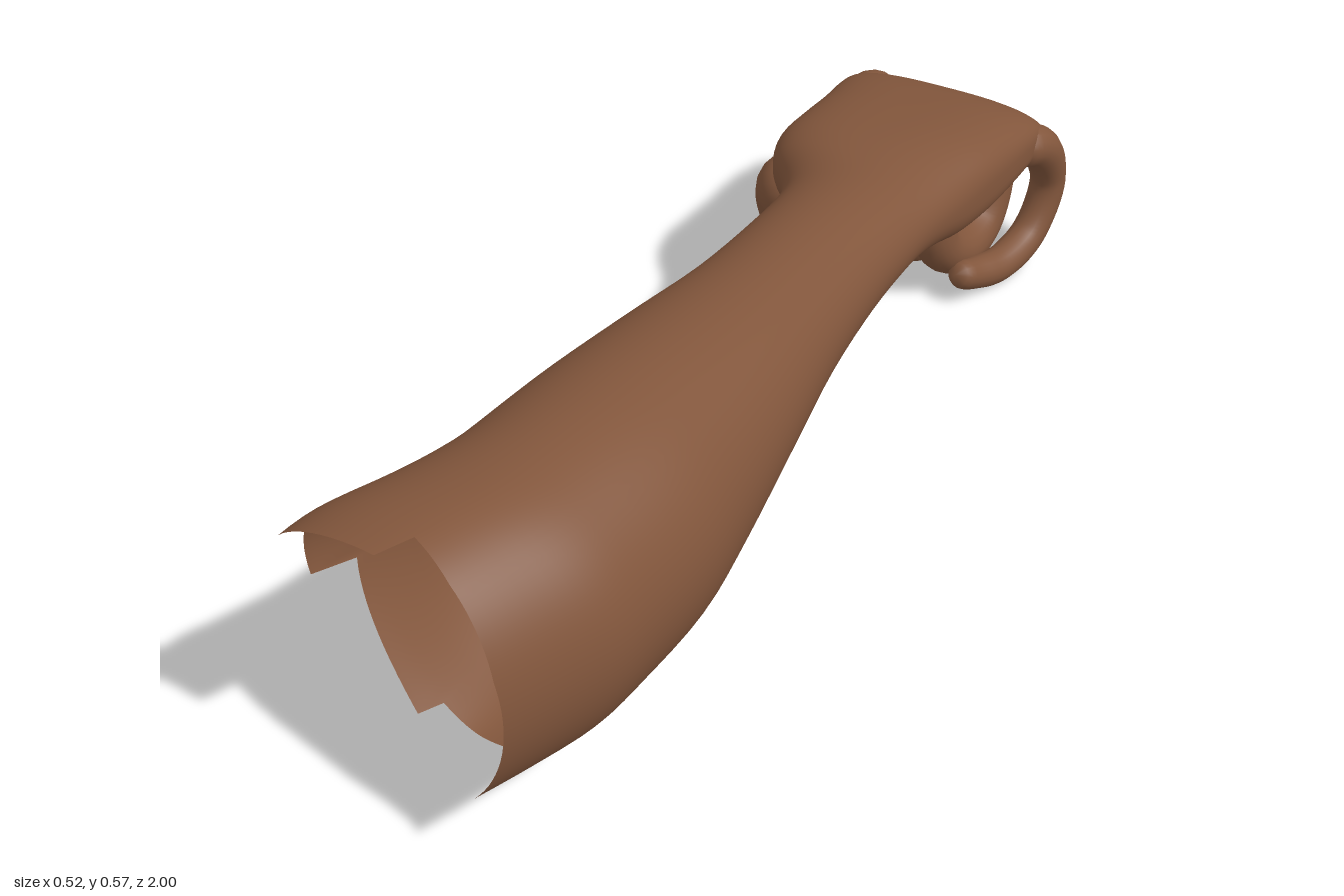
import * as THREE from 'three';
import { mergeVertices } from 'three/addons/utils/BufferGeometryUtils.js';

const skin = new THREE.MeshStandardMaterial({ color: 0x82563c, side: THREE.DoubleSide });
skin.name = 'brown skin';

// Cross-sections from elbow to knuckles: z, min x, max x, min y, max y
const SECTIONS = [
  [1.0, -0.24, 0.165, 0.095, 0.568],
  [0.9, -0.232, 0.205, 0.087, 0.573],
  [0.8, -0.212, 0.24, 0.085, 0.572],
  [0.7, -0.2, 0.252, 0.088, 0.568],
  [0.55, -0.19, 0.26, 0.097, 0.56],
  [0.4, -0.175, 0.245, 0.125, 0.545],
  [0.2, -0.145, 0.22, 0.185, 0.518],
  [0, -0.115, 0.19, 0.225, 0.49],
  [-0.2, -0.11, 0.17, 0.24, 0.465],
  [-0.35, -0.118, 0.165, 0.245, 0.447],
  [-0.43, -0.145, 0.167, 0.242, 0.438],
  [-0.5, -0.2, 0.173, 0.228, 0.434],
  [-0.57, -0.228, 0.18, 0.212, 0.429],
  [-0.66, -0.228, 0.188, 0.212, 0.418],
  [-0.75, -0.23, 0.192, 0.215, 0.403],
  [-0.84, -0.238, 0.195, 0.228, 0.383],
  [-0.9, -0.238, 0.19, 0.24, 0.36],
  [-0.94, -0.215, 0.175, 0.245, 0.325],
  [-0.962, -0.14, 0.11, 0.255, 0.295],
  [-0.965, -0.03, 0.01, 0.27, 0.28],
];

// Torn elbow edge: start and end angle in degrees, z at each
const TEARS = [
  [-44, 20, 1, 0.99], [20, 60, 0.99, 0.96], [60, 88, 0.96, 0.93],
  [88, 136, 0.99, 0.96], [136, 176, 0.89, 0.89], [176, 240, 0.81, 0.87], [240, 316, 0.82, 0.84],
];

function tornEdge(deg) {
  const d = deg >= 316 ? deg - 360 : deg;
  const [a, b, z0, z1] = TEARS.find(([from, to]) => d >= from && d < to);
  return z0 + (z1 - z0) * (d - a) / (b - a);
}

// Forearm, wrist and palm as one smooth hollow skin
function forearmGeometry() {
  const last = SECTIONS.length - 1, sides = 90, rings = last * 4;
  const curves = [1, 2, 3, 4].map(k =>
    new THREE.SplineCurve(SECTIONS.map(s => new THREE.Vector2(s[0], s[k]))));
  const positions = [], index = [];
  for (let r = 0; r <= rings; r++) {
    for (let i = 0; i < sides; i++) {
      const deg = i * 360 / sides, a = deg * Math.PI / 180;
      const cos = Math.cos(a), sin = Math.sin(a);
      let t = r / 4;
      if (t < 3) {
        const start = (1 - tornEdge(deg)) / 0.1;
        t = start + t / 3 * (3 - start);
      }
      const p = curves.map(c => c.getPoint(t / last));
      const [x0, x1, y0, y1] = p.map(v => v.y), z = p[0].x;
      // The palm is squarer than the arm
      const e = 1 - 0.3 * THREE.MathUtils.smoothstep(-z, 0.35, 0.7);
      const bend = v => Math.sign(v) * Math.pow(Math.abs(v), e);
      // The elbow leans outward at the upper right and inward below
      const lean = 0.1 * THREE.MathUtils.smoothstep(z, 0.6, 0.95) * Math.max(0, -cos) * sin;
      positions.push(
        (x0 + x1) / 2 + (x1 - x0) / 2 * bend(cos) - lean,
        (y0 + y1) / 2 + (y1 - y0) / 2 * bend(sin),
        z);
      if (r < rings) {
        const j = (i + 1) % sides, n = r * sides;
        index.push(n + i, n + sides + i, n + j, n + j, n + sides + i, n + sides + j);
      }
    }
  }
  const g = new THREE.BufferGeometry();
  g.setAttribute('position', new THREE.Float32BufferAttribute(positions, 3));
  g.setIndex(index);
  g.computeVertexNormals();
  return g;
}

// Tapered tube with rounded ends; radii are spread evenly along the path
function digitGeometry(points, radii) {
  const curve = new THREE.CatmullRomCurve3(points.map(p => new THREE.Vector3(...p)));
  const segments = 48, sides = 18, length = curve.getLength();
  let g = new THREE.TubeGeometry(curve, segments, 1, sides);
  const pos = g.attributes.position, v = new THREE.Vector3();
  for (let i = 0; i <= segments; i++) {
    const u = i / segments, c = curve.getPointAt(u);
    const f = u * (radii.length - 1), k = Math.min(Math.floor(f), radii.length - 2);
    const radius = THREE.MathUtils.lerp(radii[k], radii[k + 1], f - k);
    const edge = Math.min(1, Math.min(u, 1 - u) * length / radius);
    const scale = radius * Math.sqrt(Math.max(0, 1 - (1 - edge) ** 2));
    for (let j = 0; j <= sides; j++) {
      const n = i * (sides + 1) + j;
      v.fromBufferAttribute(pos, n).sub(c).multiplyScalar(scale).add(c);
      pos.setXYZ(n, v.x, v.y, v.z);
    }
  }
  g.deleteAttribute('uv');
  g.deleteAttribute('normal');
  g = mergeVertices(g, 1e-5);
  g.computeVertexNormals();
  return g;
}

const DIGITS = {
  indexFinger: {
    path: [[-0.175, 0.305, -0.86], [-0.187, 0.275, -0.92], [-0.175, 0.185, -0.94],
      [-0.138, 0.1, -0.9], [-0.112, 0.087, -0.81], [-0.11, 0.13, -0.735], [-0.105, 0.22, -0.72]],
    radii: [0.06, 0.06, 0.056, 0.053, 0.05, 0.046, 0.04],
  },
  middleFinger: {
    path: [[-0.06, 0.305, -0.86], [-0.06, 0.275, -0.915], [-0.05, 0.175, -0.935],
      [-0.03, 0.088, -0.89], [-0.02, 0.074, -0.79], [-0.025, 0.14, -0.705], [-0.028, 0.32, -0.68]],
    radii: [0.06, 0.06, 0.057, 0.054, 0.051, 0.047, 0.04],
  },
  ringFinger: {
    path: [[0.055, 0.3, -0.86], [0.062, 0.265, -0.91], [0.068, 0.17, -0.93],
      [0.07, 0.085, -0.885], [0.07, 0.07, -0.79], [0.06, 0.13, -0.705], [0.055, 0.285, -0.68]],
    radii: [0.056, 0.056, 0.054, 0.051, 0.048, 0.043, 0.036],
  },
  littleFinger: {
    path: [[0.15, 0.3, -0.84], [0.178, 0.275, -0.91], [0.186, 0.17, -0.965],
      [0.172, 0.068, -0.92], [0.15, 0.037, -0.83], [0.125, 0.05, -0.75], [0.11, 0.075, -0.69]],
    radii: [0.045, 0.042, 0.036, 0.035, 0.036, 0.035, 0.028],
  },
  thumb: {
    path: [[-0.14, 0.31, -0.51], [-0.18, 0.27, -0.55], [-0.194, 0.205, -0.58], [-0.193, 0.145, -0.625],
      [-0.188, 0.092, -0.69], [-0.17, 0.078, -0.765]],
    radii: [0.065, 0.074, 0.07, 0.06, 0.048, 0.036],
  },
};

export function createModel() {
  const model = new THREE.Group();
  model.name = 'forearmAndFist';
  const add = (name, geometry) => {
    const mesh = new THREE.Mesh(geometry, skin);
    mesh.name = name;
    model.add(mesh);
  };
  add('forearmAndPalm', forearmGeometry());
  for (const [name, { path, radii }] of Object.entries(DIGITS)) add(name, digitGeometry(path, radii));
  return model;
}
